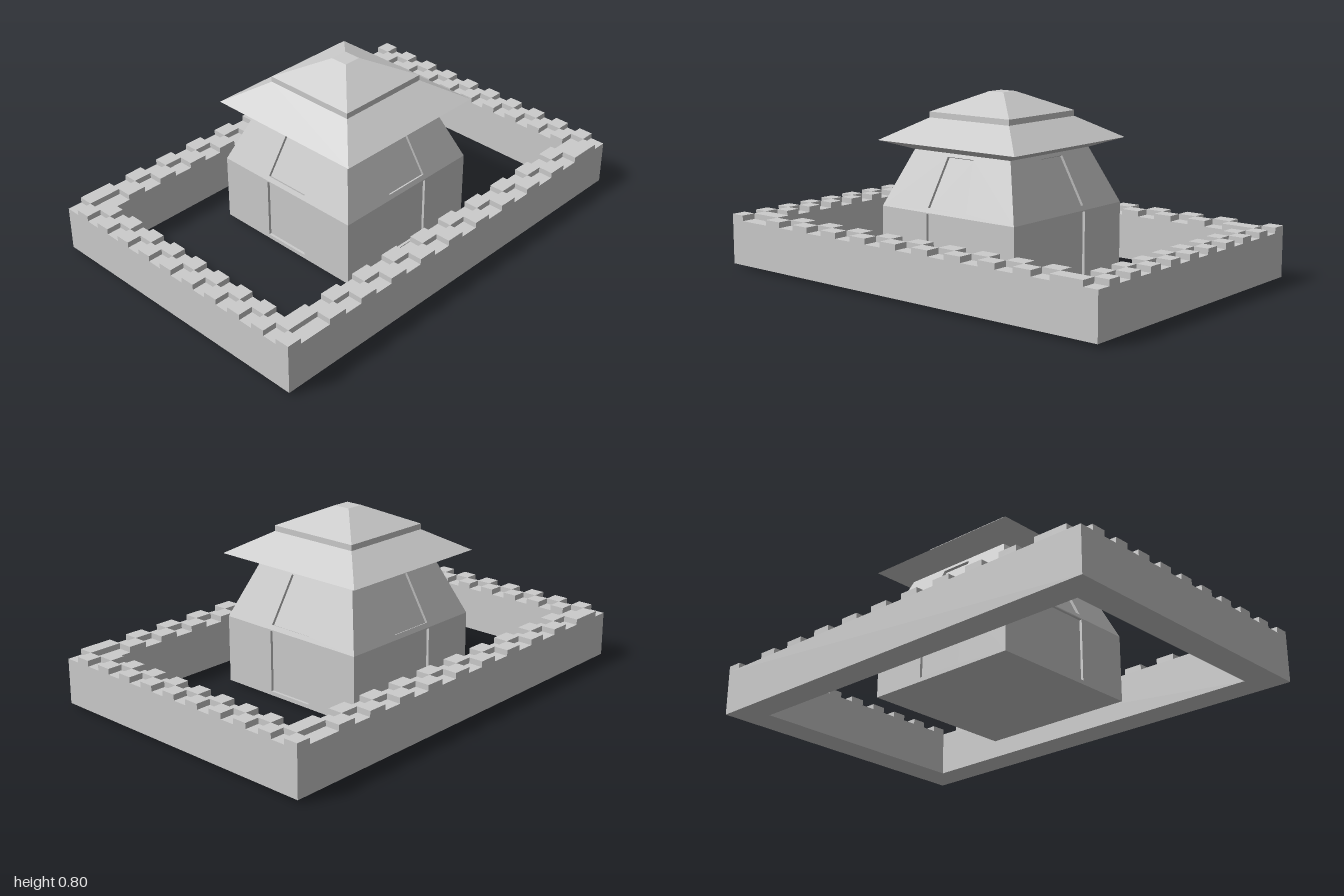
import * as THREE from 'three';
import { mergeGeometries } from 'three/addons/utils/BufferGeometryUtils.js';

const material = new THREE.MeshStandardMaterial({ color: 0xcccccc, flatShading: true });
const RECESS = 0.012;

function part(name, geometry) {
  const mesh = new THREE.Mesh(geometry, material);
  mesh.name = name;
  return mesh;
}

// Symmetric trapezoid outline
function trapezoid(Type, bottomHalf, topHalf, y0, y1) {
  return new Type([
    [-bottomHalf, y0], [bottomHalf, y0], [topHalf, y1], [-topHalf, y1],
  ].map(([x, y]) => new THREE.Vector2(x, y)));
}

// Four-sided solid from a profile of [half width, height]
function squareLathe(profile) {
  const points = profile.map(([r, y]) => new THREE.Vector2(r * Math.SQRT2, y));
  return new THREE.LatheGeometry(points, 4, Math.PI / 4);
}

// Panel with a recessed opening, front face on z = 0
function recessedPanel(name, outline, opening) {
  const group = new THREE.Group();
  group.name = name;
  const frame = trapezoid(THREE.Shape, ...outline);
  frame.holes.push(trapezoid(THREE.Path, ...opening));
  const frameGeometry = new THREE.ExtrudeGeometry(frame, { depth: RECESS, bevelEnabled: false });
  const infill = new THREE.ShapeGeometry(trapezoid(THREE.Shape, ...opening));
  group.add(
    part(name + 'Frame', frameGeometry.translate(0, 0, -RECESS)),
    part(name + 'Infill', infill.translate(0, 0, -RECESS)),
  );
  return group;
}

function createTower() {
  const tower = new THREE.Group();
  tower.name = 'tower';
  const base = 0.365, top = 0.265, floorY = 0.012, bendY = 0.31, eaveY = 0.555;
  const rise = eaveY - bendY;
  const slope = Math.hypot(rise, base - top);
  const along = (y) => (y - bendY) / rise * slope;

  // Four identical sides: upright wall with door, sloping wall with window
  for (let i = 0; i < 4; i++) {
    const side = new THREE.Group();
    side.name = 'towerSide';
    const lower = recessedPanel('doorWall',
      [base, base, floorY, bendY], [0.109, 0.109, 0.03, 0.305]);
    lower.position.z = base;
    const upper = recessedPanel('windowWall',
      [base, top, 0, slope], [0.107, 0.071, along(0.33), along(0.54)]);
    upper.position.set(0, bendY, base);
    upper.rotation.x = -Math.atan2(base - top, rise);
    side.add(lower, upper);
    side.rotation.y = i * Math.PI / 2;
    tower.add(side);
  }

  // Shallow underside and two-tier roof
  tower.add(part('underside', squareLathe([[0, 0], [base, floorY]])));
  tower.add(part('roof', squareLathe([
    [0, eaveY], [top, eaveY], [0.377, 0.595], [0.22, 0.69], [0.22, 0.715], [0.04, 0.8], [0, 0.8],
  ])));
  return tower;
}

function createCourtyardWall() {
  const wall = new THREE.Group();
  wall.name = 'courtyardWall';
  const X = 2 / 3, Z = 1, row = 1 / 15, thick = 2 * row;
  const bottom = 0.015, walk = 0.215, crest = 0.24;

  // Rectangular ring
  const ring = trapezoid(THREE.Shape, X, X, -Z, Z);
  ring.holes.push(trapezoid(THREE.Path, X - thick, X - thick, thick - Z, Z - thick));
  const ringGeometry = new THREE.ExtrudeGeometry(ring, { depth: walk - bottom, bevelEnabled: false });
  wall.add(part('wallRing', ringGeometry.rotateX(-Math.PI / 2).translate(0, bottom, 0)));

  // Two staggered rows of merlons on the front and one long side
  const merlons = [];
  const merlon = (x, z, w, d) => merlons.push(
    new THREE.BoxGeometry(w, crest - walk, d).translate(x, (walk + crest) / 2, z));
  const count = 20;
  const step = 2 * (Z - thick) / count;
  for (let k = 0; k < count; k++) {
    const inset = (k % 2 ? 0.5 : 1.5) * row;
    merlon(-X + (k + 0.5) * row, Z - inset, row, row);
    merlon(X - inset, Z - thick - (k + 0.5) * step, row, step);
  }
  const half = mergeGeometries(merlons);

  // Half turn gives the back and the other long side
  wall.add(part('merlons', half), part('merlons', half.clone().rotateY(Math.PI)));
  return wall;
}

export function createModel() {
  const model = new THREE.Group();
  model.name = 'walledPavilion';
  model.add(createTower(), createCourtyardWall());
  return model;
}
